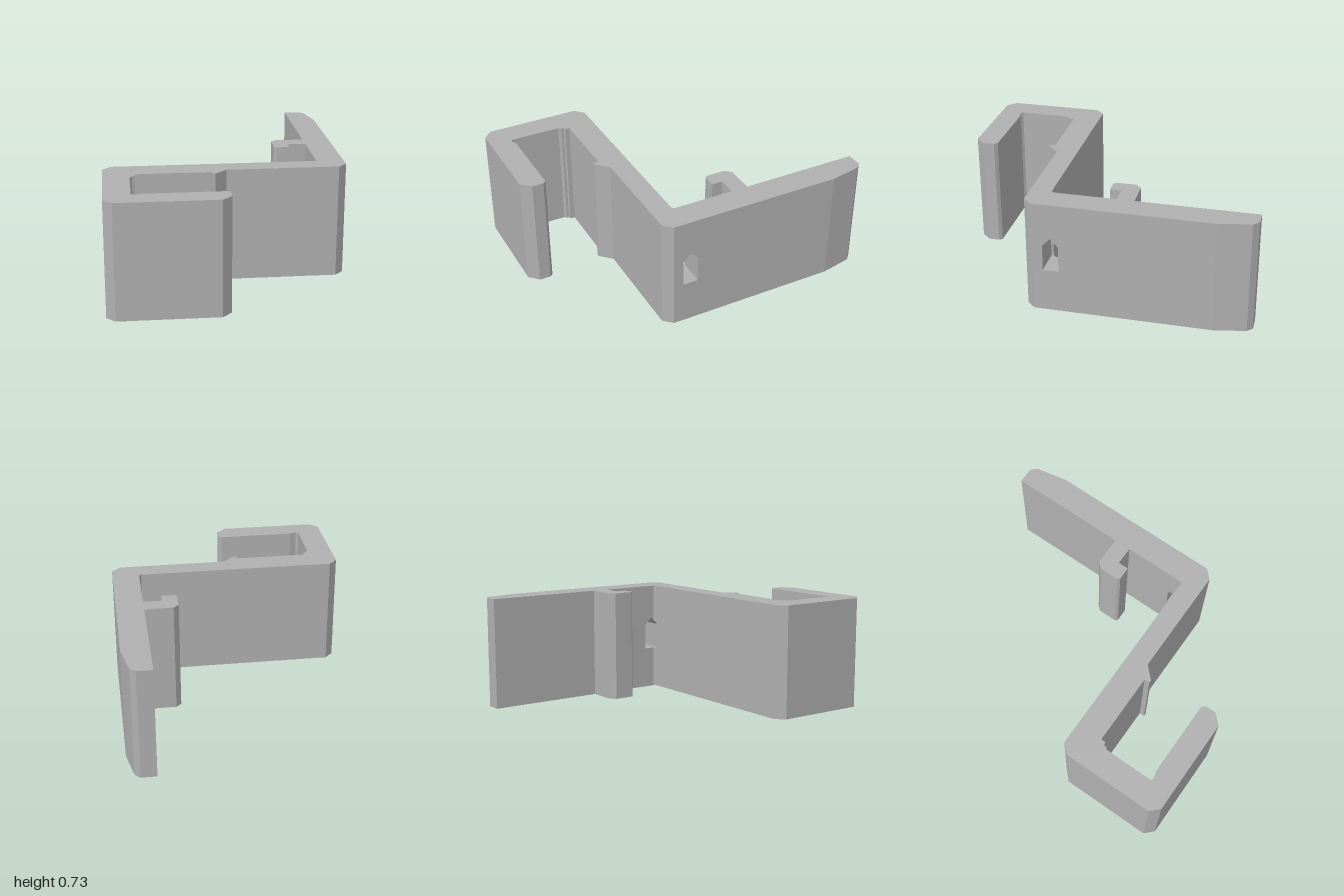
import * as THREE from 'three';
import { mergeGeometries } from 'three/addons/utils/BufferGeometryUtils.js';

const H = 0.73;

// Plan outline of the bracket as [x, z], counter-clockwise from above
const clip = [
  [-0.71, 1], [-0.08, 1], [-0.02, 0.94], [-0.02, 0.865], [-0.04, 0.845],
  [-0.54, 0.845], [-0.585, 0.86], [-0.6, 0.845], [-0.6, 0.525], [-0.585, 0.51],
  [-0.585, 0.495], [-0.565, 0.49], [-0.565, 0.46], [-0.095, 0.46],
  [-0.095, 0.495], [-0.075, 0.495], [0, 0.42], [0.71, 0.42],
];
const arm = [[0.765, 0.365], [0.765, -0.76], [0.725, -0.965], [0.69, -1], [0.59, -1]];
const hook = [
  [0.59, -0.235], [0.405, -0.235], [0.37, -0.2], [0.37, -0.07],
  [0.385, -0.055], [0.47, -0.055], [0.47, -0.125], [0.59, -0.125],
];
const back = [[0.59, 0.27], [0.575, 0.285], [-0.71, 0.285], [-0.765, 0.34], [-0.765, 0.945]];
const outline = [...clip, ...arm, ...hook, ...back];

// Pointed slot through the arm as [z, y], split where it meets the inner corner
const slot = [
  [0.2, 0.28], [0.27, 0.28], [0.285, 0.28], [0.3, 0.28], [0.3, 0.45],
  [0.285, 0.465], [0.27, 0.48], [0.25, 0.5], [0.2, 0.45],
];
const innerX = (z) => (z <= 0.27 ? 0.59 : z >= 0.285 ? 0.575 : 0.59 - (z - 0.27));

const toShape = (pts) => new THREE.Shape(pts.map(([a, b]) => new THREE.Vector2(a, b)));

// Upright face from p to q; polygons are given as [distance along the wall, height]
function wall(p, q, polygon, hole) {
  const dx = q[0] - p[0], dz = q[1] - p[1], len = Math.hypot(dx, dz);
  const shape = toShape(polygon ?? [[0, 0], [len, 0], [len, H], [0, H]]);
  if (hole) shape.holes.push(toShape(hole));
  const geo = new THREE.ShapeGeometry(shape);
  const pos = geo.attributes.position;
  for (let i = 0; i < pos.count; i++) {
    const u = pos.getX(i) / len;
    pos.setXYZ(i, p[0] + dx * u, pos.getY(i), p[1] + dz * u);
  }
  return geo;
}

// Flat top or bottom face
function cap(isTop) {
  const geo = new THREE.ShapeGeometry(toShape(outline.map(([x, z]) => [x, -z])));
  geo.rotateX(-Math.PI / 2).translate(0, isTop ? H : 0, 0);
  if (!isTop) geo.index.array.reverse();
  return geo;
}

function flatMesh(name, parts, material) {
  const geos = parts.map((g) => {
    const flat = g.index ? g.toNonIndexed() : g;
    flat.deleteAttribute('uv');
    flat.computeVertexNormals();
    return flat;
  });
  const mesh = new THREE.Mesh(mergeGeometries(geos), material);
  mesh.name = name;
  return mesh;
}

export function createModel() {
  const grey = new THREE.MeshStandardMaterial({ color: 0xb0b0b0 });
  grey.name = 'grey plastic';
  const group = new THREE.Group();
  group.name = 'clipBracket';

  // Bracket body: caps plus one wall per outline edge
  const armOuter = clip.length;
  const armInner = clip.length + arm.length + hook.length - 1;
  const body = [cap(true), cap(false)];
  outline.forEach((p, i) => {
    const q = outline[(i + 1) % outline.length];
    const len = Math.hypot(q[0] - p[0], q[1] - p[1]);
    if (i === armOuter) {
      body.push(wall(p, q, null, slot.map(([z, y]) => [p[1] - z, y])));
    } else if (i === armInner) {
      // Inner arm face, notched where the slot runs into the corner
      const n = (z) => z - p[1];
      body.push(wall(p, q, [
        [0, 0], [len, 0], [len, 0.28], [n(0.2), 0.28], [n(0.2), 0.45],
        [n(0.25), 0.5], [len, 0.48], [len, H], [0, H],
      ]));
    } else if (i === armInner + 1) {
      // Corner bevel below and above the slot
      body.push(wall(p, q, [[0, 0], [len, 0], [len, 0.28], [0, 0.28]]));
      body.push(wall(p, q, [[0, 0.48], [len, 0.465], [len, H], [0, H]]));
    } else {
      body.push(wall(p, q));
    }
  });
  group.add(flatMesh('bracketBody', body, grey));

  // Slot lining, closed where it bites into the cross plate
  const lining = slot.map(([z0, y0], i) => {
    const [z1, y1] = slot[(i + 1) % slot.length];
    const a = [innerX(z0), y0, z0], b = [innerX(z1), y1, z1];
    const c = [0.765, y1, z1], d = [0.765, y0, z0];
    const geo = new THREE.BufferGeometry();
    geo.setAttribute('position',
      new THREE.Float32BufferAttribute([a, b, c, a, c, d].flat(), 3));
    return geo;
  });
  lining.push(wall([0.575, 0.3], [0.575, 0.285],
    [[0, 0.28], [0.015, 0.28], [0.015, 0.465], [0, 0.45]]));
  group.add(flatMesh('slotLining', lining, grey));

  return group;
}
